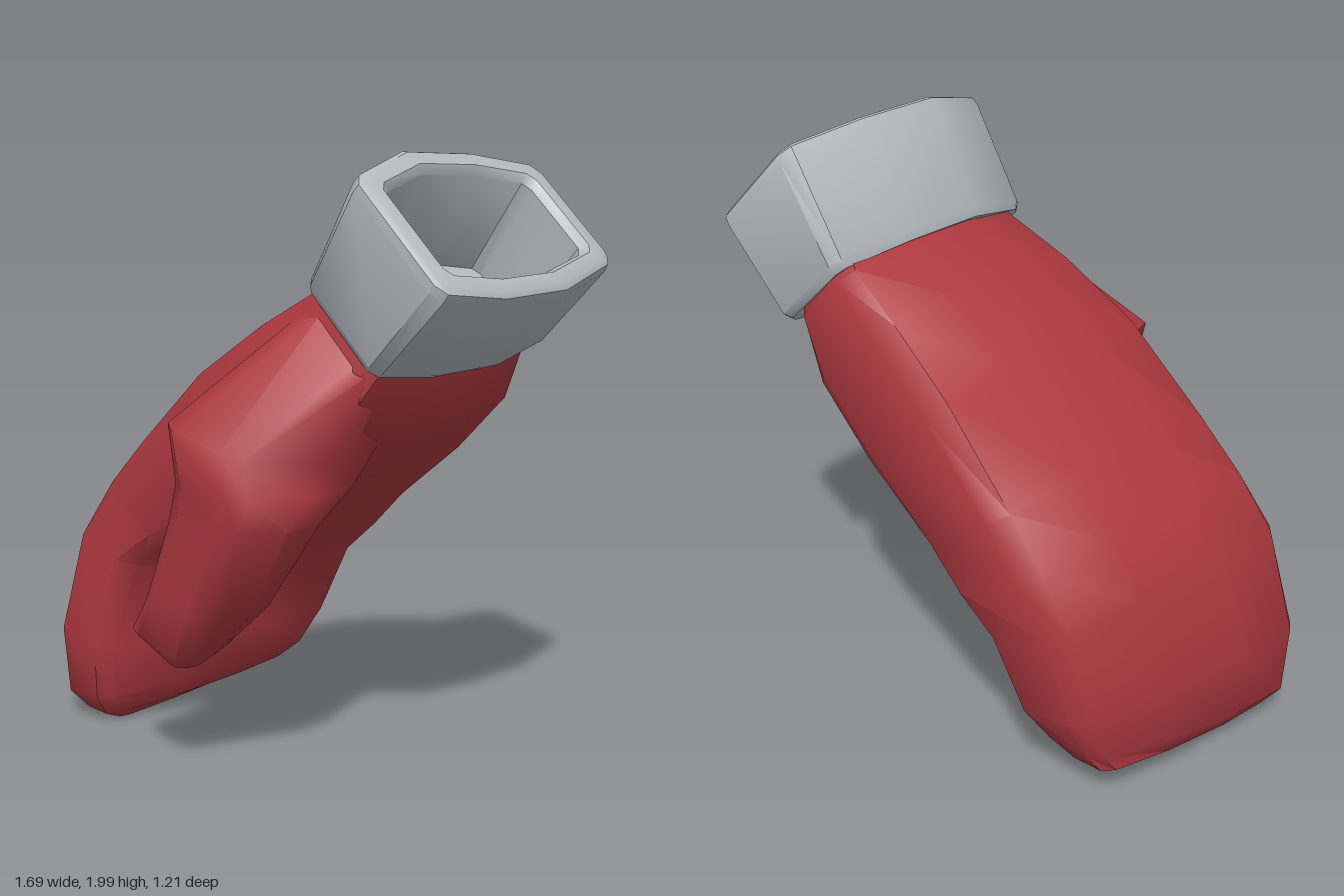
import * as THREE from 'three';
import { toCreasedNormals } from 'three/addons/utils/BufferGeometryUtils.js';

// Skin a list of equal-length point rings, closing both ends with a fan.
function loft(rings, crease) {
  const n = rings[0].length;
  const pts = rings.flat();
  const idx = [];
  for (let r = 0; r < rings.length - 1; r++) {
    for (let i = 0; i < n; i++) {
      const a = r * n + i, b = r * n + (i + 1) % n;
      idx.push(a, b, a + n, b, b + n, a + n);
    }
  }
  const cap = (start, flip) => {
    const c = new THREE.Vector3();
    for (let i = 0; i < n; i++) c.addScaledVector(pts[start + i], 1 / n);
    const k = pts.push(c) - 1;
    for (let i = 0; i < n; i++) {
      const a = start + i, b = start + (i + 1) % n;
      if (flip) idx.push(k, b, a); else idx.push(k, a, b);
    }
  };
  const last = (rings.length - 1) * n;
  cap(0, true);
  cap(last, false);
  // Turn all faces outward
  let volume = 0;
  const cross = new THREE.Vector3();
  for (let i = 0; i < idx.length; i += 3) {
    volume += pts[idx[i]].dot(cross.crossVectors(pts[idx[i + 1]], pts[idx[i + 2]]));
  }
  if (volume < 0) idx.reverse();
  const geo = new THREE.BufferGeometry().setFromPoints(pts);
  geo.setIndex(idx);
  return toCreasedNormals(geo, crease);
}

// Bevelled, skewed cross-section between an outer point O and a palm point P.
// f0..f1 and b0..b1 are the spans of its front and back sides along O-P;
// lift raises the back, swell rounds the palm side.
function section([ox, oy, px, py, zF, zB, f0, f1, b0, b1, lift = 0, swell = 0.48]) {
  const at = (t, s) => new THREE.Vector3(
    ox + (px - ox) * t, oy + (py - oy) * t + lift * s, zF + (zB - zF) * s);
  const mix = THREE.MathUtils.lerp;
  const outer = s => at(Math.max(0, mix(f0, b0, s) - 0.48 * s * (1 - s)), s);
  const palm = s => at(Math.min(1, mix(f1, b1, s) + swell * s * (1 - s)), s);
  const inset = 0.14;
  return [
    at(mix(f0, f1, inset), 0), outer(0.05), outer(0.33), outer(0.67), outer(0.95),
    at(mix(b0, b1, inset), 1), at(mix(b0, b1, 1 - inset), 1),
    palm(0.95), palm(0.67), palm(0.33), palm(0.05), at(mix(f0, f1, 1 - inset), 0),
  ];
}

export function createModel() {
  const group = new THREE.Group();
  group.name = 'mitten';
  const red = new THREE.MeshStandardMaterial({ color: 0xae3940 });
  red.name = 'red fabric';
  const grey = new THREE.MeshStandardMaterial({ color: 0xb4b9bf });
  grey.name = 'grey cuff';

  const add = (name, geometry, material) => {
    const mesh = new THREE.Mesh(geometry, material);
    mesh.name = name;
    group.add(mesh);
  };

  // Hand and curled fingers, from wrist to fingertips
  const hand = [
    [0.22, 1.64, 0.53, 1.34, 0.25, -0.55, 0.2, 0.95, 0.1, 0.8],
    [0.19, 1.62, 0.52, 1.31, 0.26, -0.57, 0.2, 0.95, 0.1, 0.8],
    [0.0, 1.5, 0.43, 1.13, 0.32, -0.59, 0.16, 0.92, 0.1, 0.85],
    [-0.23, 1.32, 0.2, 0.95, 0.37, -0.6, 0.13, 0.9, 0.12, 0.9],
    [-0.5, 1.04, -0.08, 0.77, 0.38, -0.6, 0.08, 0.87, 0.17, 0.95],
    [-0.65, 0.87, -0.22, 0.65, 0.385, -0.59, 0.04, 0.74, 0.23, 1],
    [-0.77, 0.69, -0.34, 0.54, 0.4, -0.57, 0.02, 0.59, 0.3, 1],
    [-0.85, 0.33, -0.44, 0.27, 0.43, -0.53, 0, 0.6, 0.38, 1, 0.03],
    [-0.84, 0.09, -0.48, 0.1, 0.41, -0.45, 0, 0.6, 0.4, 1, 0.08],
    [-0.8, 0.03, -0.55, 0.02, 0.36, -0.41, 0.05, 0.6, 0.35, 0.95, 0.09],
    [-0.75, 0.0, -0.6, 0.0, 0.3, -0.36, 0.1, 0.6, 0.35, 0.9, 0.09],
  ];
  add('hand', loft(hand.map(section), 0.75), red);

  // Thumb, its broad base blending into the palm and the front of the wrist
  const thumb = [
    [0.2, 1.61, 0.51, 1.32, 0.25, -0.3, 0.25, 0.93, 0.12, 0.75],
    [-0.24, 1.2, 0.5, 1.04, 0.6, -0.2, 0.27, 0.68, 0.15, 0.55, 0, 0.96],
    [-0.18, 0.99, 0.53, 0.95, 0.61, -0.1, 0.27, 0.68, 0.1, 0.42, 0, 0.96],
    [-0.16, 0.85, 0.46, 0.87, 0.61, 0.18, 0.24, 0.68, 0.1, 0.62, 0, 0.96],
    [-0.2, 0.6, 0.15, 0.56, 0.6, 0.29, 0.18, 0.82, 0.13, 0.9],
    [-0.26, 0.48, 0.01, 0.4, 0.59, 0.36, 0.13, 0.87, 0.13, 0.87],
    [-0.21, 0.43, -0.04, 0.36, 0.55, 0.41, 0.13, 0.87, 0.13, 0.87],
  ];
  add('thumb', loft(thumb.map(section), 0.9), red);

  // Cuff outline: across the wrist, then depth
  const outline = [
    [-0.17, 0.29], [0.24, 0.28], [0.28, 0.25], [0.315, 0.02], [0.3, -0.28],
    [0.21, -0.57], [0.17, -0.6], [-0.2, -0.59], [-0.245, -0.56],
    [-0.3, -0.3], [-0.31, 0.0], [-0.21, 0.26],
  ];
  // Cuff rings: distance from the opening, scale across, scale in depth
  const cuff = [
    [-0.39, 0.6, 0.8], [-0.4, 0.76, 0.95], [-0.375, 0.81, 0.99],
    [-0.04, 0.99, 1.01], [-0.012, 0.98, 1], [0, 0.93, 0.96],
    [0, 0.77, 0.84], [-0.025, 0.7, 0.79], [-0.36, 0.6, 0.76],
  ];
  const cuffRings = cuff.map(([d, su, sz]) => outline.map(([u, z]) => new THREE.Vector3(
    0.625 + 0.63 * d + 0.72 * u * su,
    1.79 + 0.79 * d - 0.69 * u * su,
    -0.15 + (z + 0.15) * sz)));
  add('cuff', loft(cuffRings, 0.65), grey);

  return group;
}
